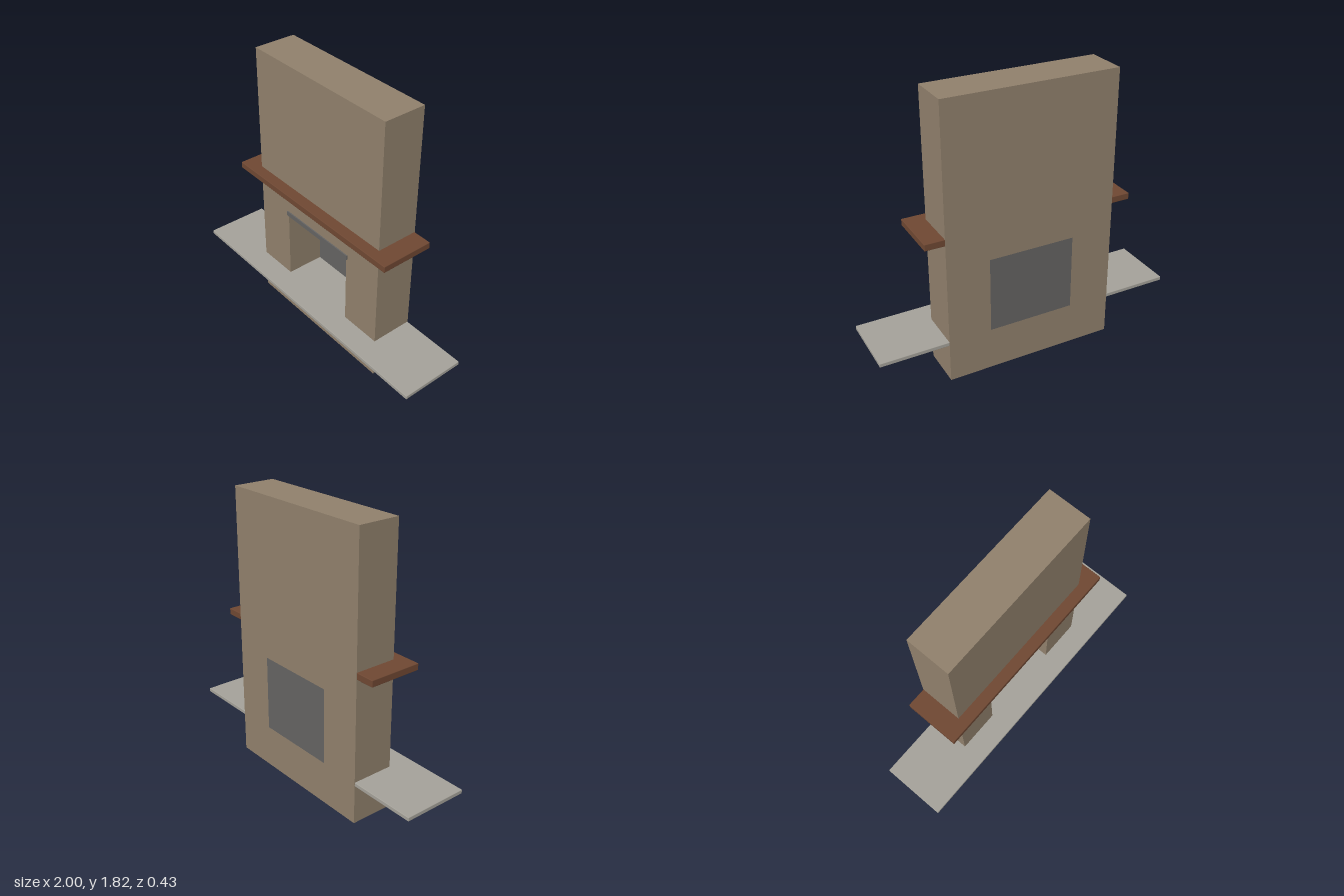
import * as THREE from 'three';
import { RoundedBoxGeometry } from 'three/addons/geometries/RoundedBoxGeometry.js';

const plaster = new THREE.MeshStandardMaterial({ name: 'plaster', color: 0x8f7f6b });
const wood = new THREE.MeshStandardMaterial({ name: 'wood', color: 0x6e4732 });
const stone = new THREE.MeshStandardMaterial({ name: 'stone', color: 0xa3a098 });
const iron = new THREE.MeshStandardMaterial({ name: 'iron', color: 0x636261 });

const BACK = -0.215;

// Box given by its half width and its y and z ranges; an edge size softens its corners
function slab(name, material, halfWidth, y0, y1, z0, z1, edge = 0) {
  const size = [halfWidth * 2, y1 - y0, z1 - z0];
  const geometry = edge
    ? new RoundedBoxGeometry(...size, 2, edge)
    : new THREE.BoxGeometry(...size);
  const mesh = new THREE.Mesh(geometry, material);
  mesh.name = name;
  mesh.position.set(0, (y0 + y1) / 2, (z0 + z1) / 2);
  return mesh;
}

// Rectangle outline, centred on x = 0
function rectangle(PathType, halfWidth, y0, y1) {
  return new PathType([
    new THREE.Vector2(-halfWidth, y0),
    new THREE.Vector2(halfWidth, y0),
    new THREE.Vector2(halfWidth, y1),
    new THREE.Vector2(-halfWidth, y1),
  ]);
}

export function createModel() {
  const model = new THREE.Group();
  model.name = 'fireplace';

  // Chimney breast with the firebox opening cut through it
  const outline = rectangle(THREE.Shape, 0.56, 0, 1.815);
  outline.holes.push(rectangle(THREE.Path, 0.282, 0.28, 0.777));
  const chimney = new THREE.Mesh(
    new THREE.ExtrudeGeometry(outline, { depth: 0.062 - BACK, bevelEnabled: false }),
    plaster
  );
  chimney.name = 'chimneyBreast';
  chimney.position.z = BACK;
  model.add(chimney);

  // Plate closing the back of the firebox, and the lintel over its mouth
  model.add(slab('fireboxBack', iron, 0.282, 0.28, 0.777, BACK, -0.19));
  model.add(slab('lintel', iron, 0.292, 0.754, 0.785, 0.06, 0.07));

  // Mantel shelf and raised hearth
  model.add(slab('mantel', wood, 0.685, 0.945, 0.988, -0.214, 0.135, 0.004));
  model.add(slab('hearth', stone, 1, 0.256, 0.282, -0.214, 0.215, 0.004));

  return model;
}
